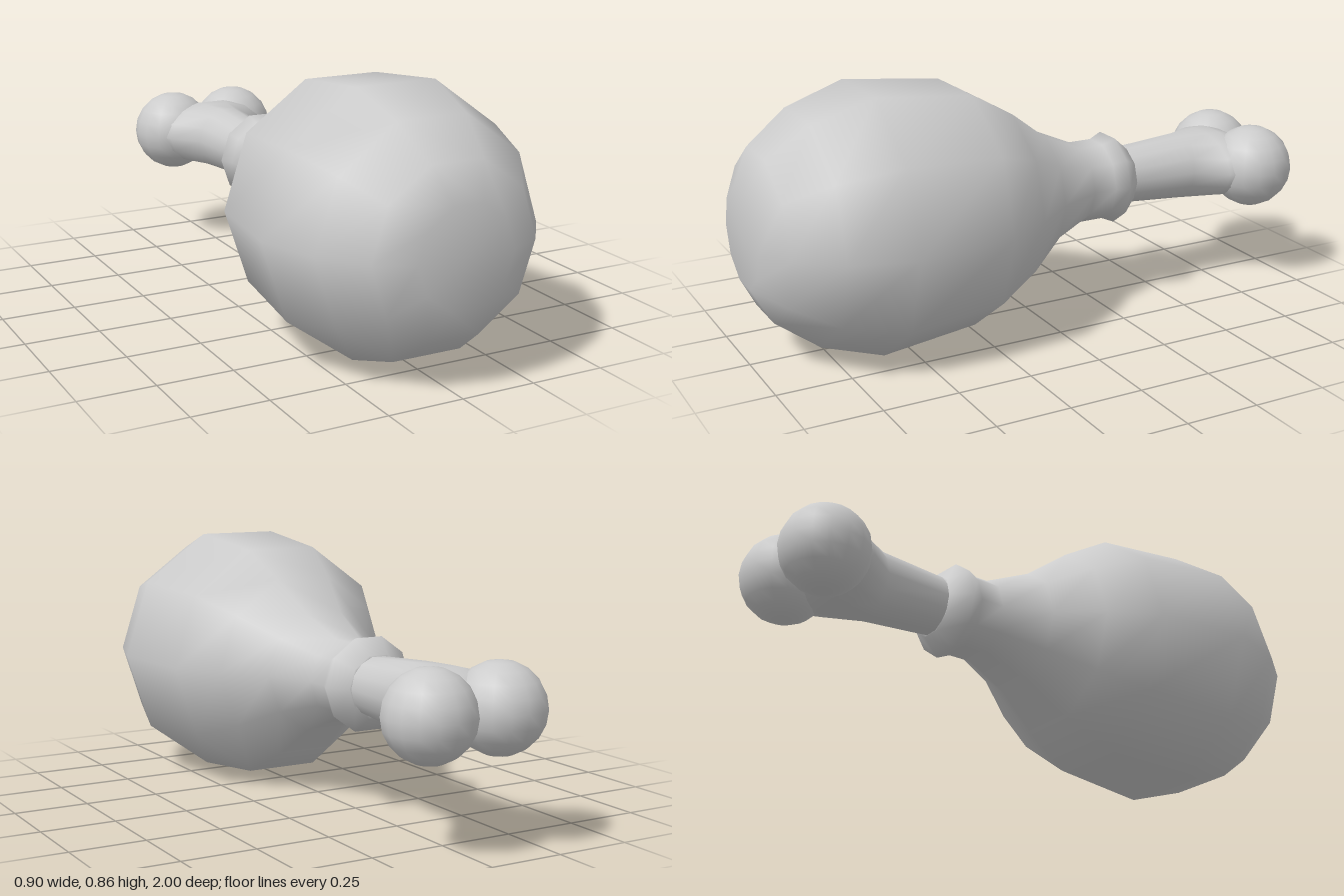
import * as THREE from 'three';
import { mergeVertices } from 'three/addons/utils/BufferGeometryUtils.js';

const AXIS_Y = 0.432;

// Lathe around the z axis; profile entries are [radius, z], from back to front
function latheZ(profile, sides) {
  const geo = new THREE.LatheGeometry(
    profile.map(([r, z]) => new THREE.Vector2(r, z)), sides, Math.PI / 2);
  return geo.rotateX(Math.PI / 2);
}

export function createModel() {
  const group = new THREE.Group();
  group.name = 'drumstick';
  const material = new THREE.MeshStandardMaterial({ color: 0xcccccc });

  function add(name, geometry, x = 0, z = 0) {
    const mesh = new THREE.Mesh(geometry, material);
    mesh.name = name;
    mesh.position.set(x, AXIS_Y, z);
    group.add(mesh);
  }

  // Ten-sided meat with a narrow neck and a flared collar
  add('meat', latheZ([
    [0.085, -0.38], [0.107, -0.385], [0.16, -0.325], [0.14, -0.28], [0.14, -0.195],
    [0.21, -0.04], [0.32, 0.1], [0.415, 0.26], [0.452, 0.595],
    [0.385, 0.8], [0.28, 0.94], [0.163, 1], [0, 1],
  ], 10));

  // Bone shaft: round at the collar, widening sideways towards the knuckles
  // [half height, z, half width]
  const rings = [
    [0, -0.9, 0], [0.065, -0.88, 0.1], [0.105, -0.82, 0.19], [0.118, -0.77, 0.225],
    [0.119, -0.72, 0.192], [0.118, -0.62, 0.115], [0.1, -0.385, 0.1], [0.1, -0.3, 0.1],
  ];
  let shaft = latheZ(rings, 14);
  const pos = shaft.attributes.position;
  for (let i = 0; i < pos.count; i++) {
    const [h, , w] = rings[i % rings.length];
    if (h > 0) pos.setX(i, pos.getX(i) * w / h);
  }
  shaft.deleteAttribute('uv');
  shaft.deleteAttribute('normal');
  shaft = mergeVertices(shaft);
  shaft.computeVertexNormals();
  add('boneShaft', shaft);

  // Pair of round knuckles at the end of the bone
  for (const [name, side] of [['leftKnuckle', 1], ['rightKnuckle', -1]]) {
    add(name, new THREE.SphereGeometry(0.145, 16, 10), side * 0.125, -0.855);
  }
  return group;
}
